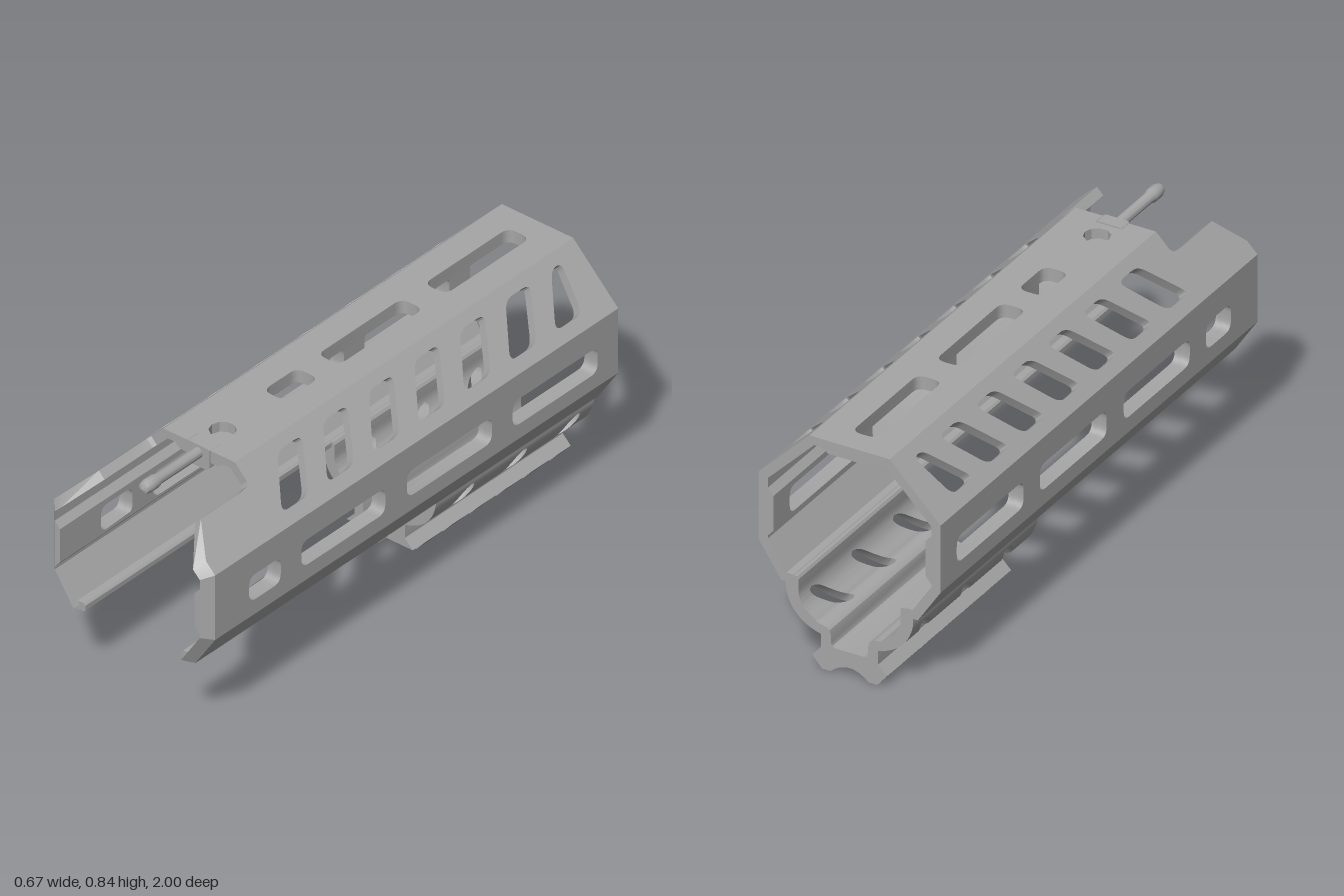
import * as THREE from 'three';
import { mergeGeometries, toCreasedNormals } from 'three/addons/utils/BufferGeometryUtils.js';

const metal = new THREE.MeshStandardMaterial({ color: 0xa6a6a6 });
metal.name = 'grey metal';
const V = (x, y) => new THREE.Vector2(x, y);

// Closed path through the points with rounded corners
function rounded(pts, r) {
  const path = new THREE.Path();
  pts.forEach((p, i) => {
    const a = pts[(i + pts.length - 1) % pts.length], b = pts[(i + 1) % pts.length];
    const s = p.clone().add(a.clone().sub(p).setLength(Math.min(r, a.distanceTo(p) / 2.1)));
    const e = p.clone().add(b.clone().sub(p).setLength(Math.min(r, b.distanceTo(p) / 2.1)));
    if (i) path.lineTo(s.x, s.y); else path.moveTo(s.x, s.y);
    path.quadraticCurveTo(p.x, p.y, e.x, e.y);
  });
  path.closePath();
  return path;
}
const slot = (u0, u1, z0, z1) => rounded([V(u0, z0), V(u1, z0), V(u1, z1), V(u0, z1)], 0.034);

// Wall plate: outline in (u, z), u runs from p0 to p1, thickness goes inward.
// m0 and m1 mitre the two long edges; bevel sets the outer face back at the front.
function plate(p0, p1, t, m0, m1, holes, { outline, zEnd = 1, bevel = 0 } = {}) {
  const L = p0.distanceTo(p1);
  const shape = new THREE.Shape(outline || [V(0, -1), V(L, -1), V(L, zEnd), V(0, zEnd)]);
  shape.holes = holes;
  const g = new THREE.ExtrudeGeometry(shape, { depth: t, bevelEnabled: false, curveSegments: 5 });
  const dir = p1.clone().sub(p0).normalize(), pos = g.attributes.position;
  for (let i = 0; i < pos.count; i++) {
    let u = pos.getX(i), z = pos.getY(i);
    const d = pos.getZ(i);
    if (u < 1e-4) u += m0 * d;
    else if (u > L - 1e-4) u -= m1 * d;
    if (d < 1e-4 && z > 0.999) z -= bevel;
    pos.setXYZ(i, p0.x + dir.x * u + dir.y * d, p0.y + dir.y * u - dir.x * d, z);
  }
  g.computeVertexNormals();
  return toCreasedNormals(g, 0.5);
}

// Extrude an (x, y) profile from z0 to z1
function bar(pts, z0, z1) {
  const g = new THREE.ExtrudeGeometry(new THREE.Shape(pts), { depth: z1 - z0, bevelEnabled: false });
  return toCreasedNormals(g.translate(0, 0, z0), 0.5);
}

// Mirror a non-indexed geometry across x = 0 and keep faces outward
function mirror(src) {
  const g = src.clone().scale(-1, 1, 1);
  for (const a of Object.values(g.attributes)) {
    for (let i = 0; i < a.count; i += 3) {
      for (let k = 0; k < a.itemSize; k++) {
        const v = a.getComponent(i + 1, k);
        a.setComponent(i + 1, k, a.getComponent(i + 2, k));
        a.setComponent(i + 2, k, v);
      }
    }
  }
  return g;
}

// Curved carrier wall with slanted slots, built from strips along the bend
function carrierWall(z0, z1) {
  const outer = new THREE.SplineCurve([V(.232, .28), V(.232, .255), V(.226, .23), V(.212, .198),
    V(.19, .17), V(.16, .147), V(.13, .133), V(.104, .125)]);
  const inner = new THREE.SplineCurve([V(.186, .28), V(.186, .25), V(.18, .228), V(.168, .207),
    V(.15, .189), V(.13, .174), V(.118, .164), V(.1, .16)]);
  const N = 24, verts = [];
  const edges = t => {
    const s = Math.max(0, (t - 0.22) / 0.78), list = [z0];
    const w = 0.034 * Math.sqrt(Math.max(0, 1 - Math.abs(2 * s - 1) ** 4));
    for (let k = 2; k >= 0; k--) {
      const c = -0.41 + 0.12 * s - 0.257 * k;
      list.push(c - w, c + w);
    }
    return [...list, z1];
  };
  const quad = (a, b, c, d) => [a, b, c, a, c, d].forEach(p => verts.push(...p));
  for (let i = 0; i < N; i++) {
    const ta = i / N, tb = (i + 1) / N, ea = edges(ta), eb = edges(tb);
    const [oa, ob, ia, ib] = [outer.getPoint(ta), outer.getPoint(tb), inner.getPoint(ta), inner.getPoint(tb)];
    const P = (p, z) => [p.x, p.y, z];
    for (let k = 0; k < ea.length; k += 2) {
      const [al, ah, bl, bh] = [ea[k], ea[k + 1], eb[k], eb[k + 1]];
      quad(P(oa, ah), P(ob, bh), P(ob, bl), P(oa, al));
      quad(P(ia, al), P(ib, bl), P(ib, bh), P(ia, ah));
      quad(P(oa, al), P(ob, bl), P(ib, bl), P(ia, al));
      quad(P(ia, ah), P(ib, bh), P(ob, bh), P(oa, ah));
    }
  }
  const g = new THREE.BufferGeometry();
  g.setAttribute('position', new THREE.Float32BufferAttribute(verts, 3));
  g.computeVertexNormals();
  return toCreasedNormals(g, 0.6);
}

// Full symmetric outline from its +x half
const both = half => [...half, ...half.slice().reverse().map(p => V(-p.x, p.y))];

export function createModel() {
  const group = new THREE.Group();
  const add = (name, g) => {
    const m = new THREE.Mesh(g, metal);
    m.name = name;
    group.add(m);
    return m;
  };
  const pair = (name, g) => { add(name + 'Left', g); add(name + 'Right', mirror(g)); };
  const T = 0.034, M = 0.414;

  // Top wall with its thicker centre strip
  const topHoles = x => {
    const ring = new THREE.Path();
    ring.absarc(x, 0.535, 0.045, 0, Math.PI * 2);
    ring.curves[0].aClockwise = false;
    return [...[[-.91, -.5], [-.39, .02], [.12, .285]].map(([a, b]) => slot(x - .045, x + .045, a, b)), ring];
  };
  add('topWall', plate(V(-.147, .837), V(.147, .837), .03, M, M, topHoles(.147), { zEnd: .65 }));
  add('topRib', plate(V(-.1, .808), V(.1, .808), .018, 1.2, 1.2, topHoles(.1), { zEnd: .65 }));

  // Sloped upper walls with raked vents and the front cutaway
  const A = V(.147, .837), B = V(.333, .65), C = V(.333, .405), D = V(.25, .28);
  const L = A.distanceTo(B), vents = [];
  for (let k = 0; k < 7; k++) {
    const z = 0.6 - 0.2225 * k, clip = v => Math.max(v, -0.905);
    vents.push(rounded([V(.215, clip(z - .13)), V(.215, z), V(.045, z - .12), V(.045, clip(z - .24))], 0.034));
  }
  const outline = [V(0, -1), V(L, -1), V(L, 1), V(.21, 1), V(.09, .89), V(.09, .69), V(.085, .66), V(.072, .65), V(0, .65)];
  pair('slopedWall', plate(A, B, T, M, M, vents, { outline, bevel: .035 }));

  // Side walls with long slots and an inner rib
  const sideHoles = y => [[.645, .8], [.135, .545], [-.385, .03], [-.9, -.485]]
    .map(([a, b]) => slot(y - .556, y - .46, a, b));
  pair('sideWall', plate(B, C, T, M, .3, sideHoles(.65), { bevel: .035 }));
  pair('sideRib', plate(V(.3, .602), V(.3, .425), .022, 1.15, 1.15, sideHoles(.602)));

  // Lower sloped walls and their inturned lips
  pair('lowerWall', plate(C, D, T, .3, 0, [], { bevel: .035 }));
  pair('lowerLip', bar([V(.25, .28), V(.245, .305), V(.235, .312), V(.205, .312), V(.198, .305), V(.198, .288), V(.206, .28)], -1, .97));

  // Accessory rail carrier under the rear half
  const Z0 = -1, Z1 = -.23;
  pair('carrierWall', carrierWall(Z0, Z1));
  pair('carrierHook', bar([V(.186, .278), V(.232, .278), V(.232, .3), V(.225, .309), V(.192, .309), V(.186, .3)], Z0, Z1));
  add('railBase', bar(both([V(.137, .042), V(.104, .075), V(.104, .125), V(.1, .16), V(.085, .157),
    V(.073, .147), V(.068, .13), V(.068, .105), V(.063, .093), V(.052, .088)]), Z0, Z1));

  // Rail teeth with an arched underside
  const arch = [.07, .055, .035, .012].map(x => V(x, .032 * (1 - (x / .07) ** 2)));
  const tooth = [V(.137, .042), V(.104, .003), V(.1, 0), ...arch];
  const toothOutline = both(tooth);
  for (let k = 0; k < 6; k++) {
    const z = -.29 - .13 * k;
    add('railTooth' + (k + 1), bar(toothOutline, Math.max(-1, z - .06), z));
  }

  // Small hollow tab at the front of the rail
  const tab = new THREE.Shape([V(-.032, .047), V(.032, .047), V(.032, .065), V(-.032, .065)]);
  tab.holes.push(new THREE.Path([V(-.027, .051), V(-.027, .061), V(.027, .061), V(.027, .051)]));
  add('railTab', new THREE.ExtrudeGeometry(tab, { depth: .04, bevelEnabled: false }).translate(0, 0, -.23));

  // Latch block under the top wall, its clip and the forward pin
  add('latchBlock', bar(both([V(.036, .76), V(.047, .771), V(.047, .8)]), .44, .655));
  add('latchClip', bar(both([V(.047, .79), V(.047, .838), V(.04, .842)]), .605, .655));
  const pin = new THREE.LatheGeometry([V(0, .64), V(.019, .64), V(.019, .85), V(.024, .87), V(.024, .905),
    V(.019, .922), V(0, .93)], 20).rotateX(Math.PI / 2).translate(0, .813, 0);
  add('latchPin', toCreasedNormals(pin, .6));
  return group;
}
